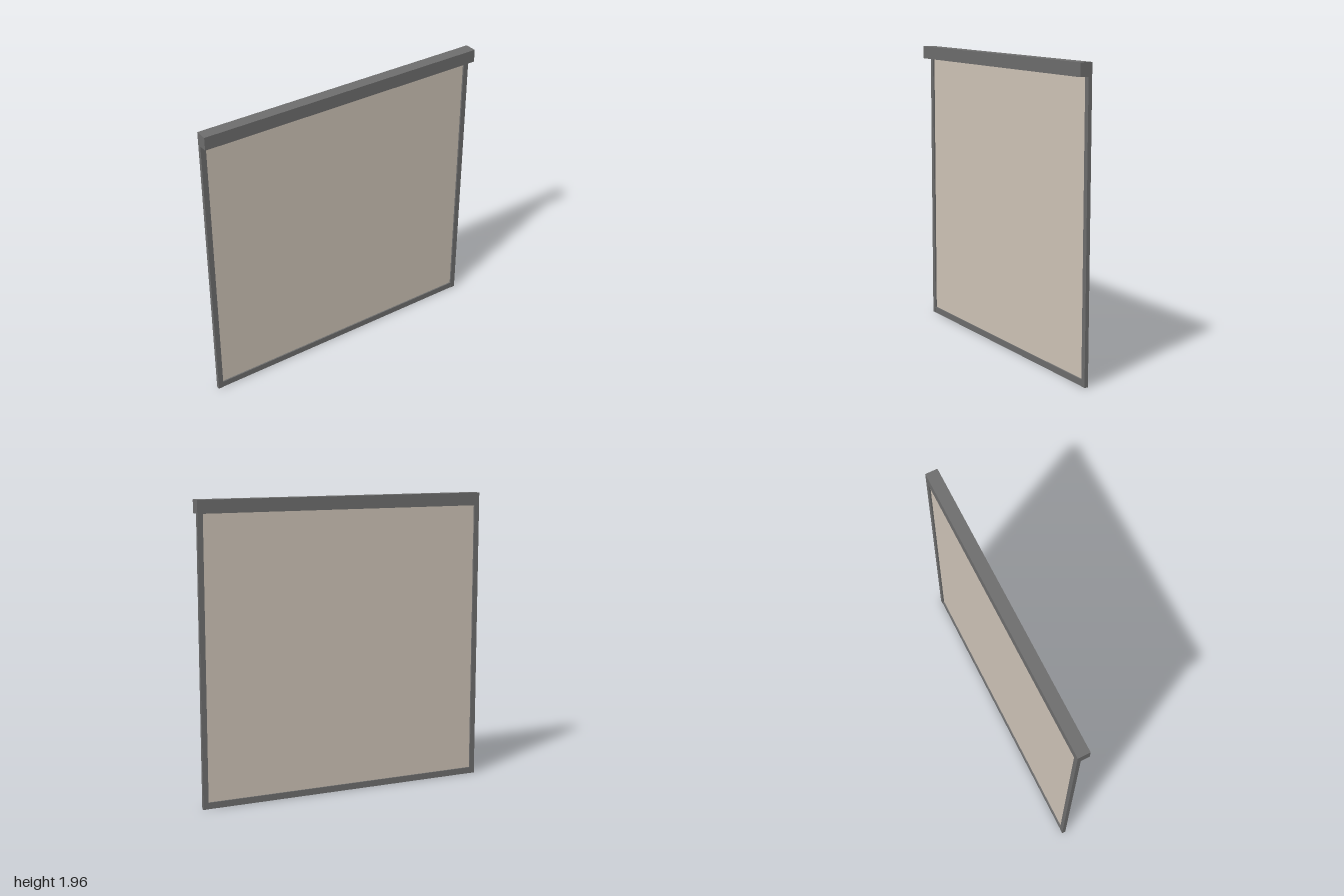
import * as THREE from 'three';

export function createModel() {
  const model = new THREE.Group();
  const metal = new THREE.MeshStandardMaterial({ color: 0x6e6e6e });
  const cloth = new THREE.MeshStandardMaterial({ color: 0xd0c5b8 });

  // Adds a box given by its lower and upper limits on each axis
  function box(name, material, [x0, x1], [y0, y1], [z0, z1]) {
    const mesh = new THREE.Mesh(new THREE.BoxGeometry(x1 - x0, y1 - y0, z1 - z0), material);
    mesh.name = name;
    mesh.position.set((x0 + x1) / 2, (y0 + y1) / 2, (z0 + z1) / 2);
    model.add(mesh);
  }

  const half = 1, rail = 0.035, back = -0.041, railFront = -0.016;
  const inner = half - rail, headBottom = 1.875, headTop = 1.96;

  // Cassette that holds the rolled fabric
  box('headBox', metal, [-half, half], [headBottom, headTop], [back, -back]);

  // Guide rails, flush with the back of the cassette
  box('leftRail', metal, [inner, half], [0, headBottom], [back, railFront]);
  box('rightRail', metal, [-half, -inner], [0, headBottom], [back, railFront]);

  // Weighted bar at the bottom edge of the fabric
  box('bottomBar', metal, [-inner, inner], [0, 0.042], [back + 0.002, railFront - 0.002]);

  // Thin fabric screen between the rails
  box('fabric', cloth, [-inner, inner], [0.042, headBottom], [-0.03, -0.027]);

  return model;
}
